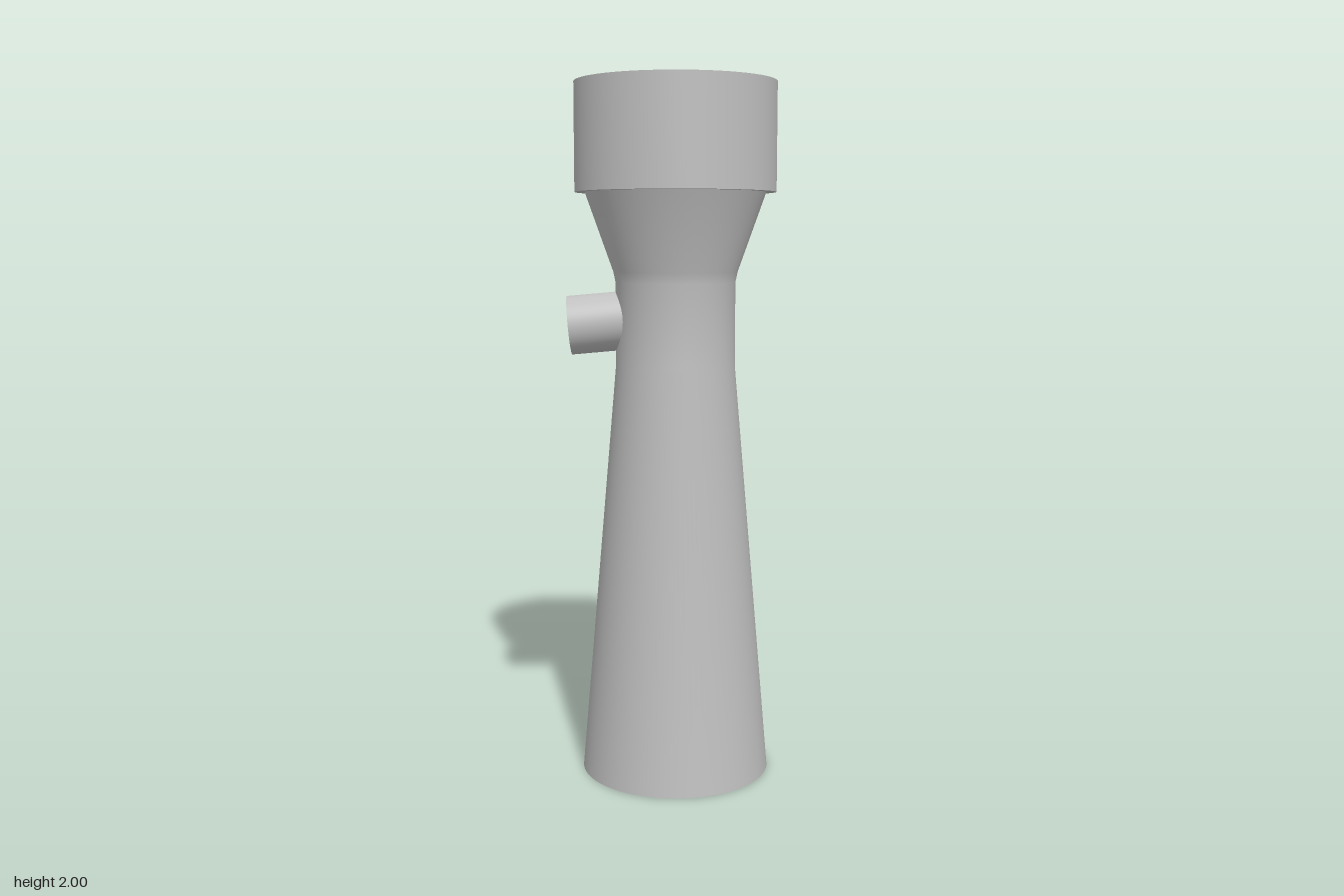
import * as THREE from 'three';
import { toCreasedNormals } from 'three/addons/utils/BufferGeometryUtils.js';

const grey = new THREE.MeshStandardMaterial({ color: 0xc0c0c0 });
grey.name = 'plain grey';

function part(name, geometry) {
  const mesh = new THREE.Mesh(geometry, grey);
  mesh.name = name;
  return mesh;
}

// Closed profile of [radius, height]: up the outside, down the inside
function turned(profile, segments) {
  const points = profile.map(([r, y]) => new THREE.Vector2(r, y));
  points.push(points[0].clone());
  return toCreasedNormals(new THREE.LatheGeometry(points, segments), 0.5);
}

export function createModel() {
  const model = new THREE.Group();
  model.name = 'venturiTube';

  const tube = new THREE.Group();
  tube.name = 'tube';
  tube.position.x = 0.0125;
  model.add(tube);

  // Flared foot, narrow throat, funnel and wide socket, hollow all through
  tube.add(part('body', turned([
    [0.275, 0], [0.172, 1.2], [0.172, 1.44], [0.178, 1.47], [0.258, 1.695],
    [0.287, 1.695], [0.287, 2],
    [0.23, 2], [0.23, 1.7], [0.128, 1.47], [0.122, 1.44], [0.122, 1.2], [0.225, 0],
  ], 96)));

  // Crossed straightening vanes inside the foot
  const height = 0.3, thickness = 0.02;
  const outline = new THREE.Shape([
    new THREE.Vector2(-0.232, 0.001), new THREE.Vector2(0.232, 0.001),
    new THREE.Vector2(0.206, height), new THREE.Vector2(-0.206, height),
  ]);
  for (let i = 0; i < 2; i++) {
    const geometry = new THREE.ExtrudeGeometry(outline, { depth: thickness, bevelEnabled: false });
    geometry.translate(0, 0, -thickness / 2);
    const vane = part('vane' + (i + 1), geometry);
    vane.rotation.y = i * Math.PI / 2;
    tube.add(vane);
  }

  // Side port, tipped slightly down, with ridged thread in its bore
  const length = 0.165, profile = [[0.0845, 0], [0.0845, length], [0.06, length]];
  for (let i = 0; i < 8; i++) {
    const y = length - 0.012 - i * 0.016;
    profile.push([0.051, y], [0.06, y - 0.008]);
  }
  profile.push([0.051, 0]);
  const port = part('sidePort', turned(profile, 48));
  const tilt = THREE.MathUtils.degToRad(5);
  port.rotation.z = Math.PI / 2 + tilt;
  port.position.set(-0.2925 + length * Math.cos(tilt), 1.317 + length * Math.sin(tilt), 0);
  model.add(port);

  return model;
}
